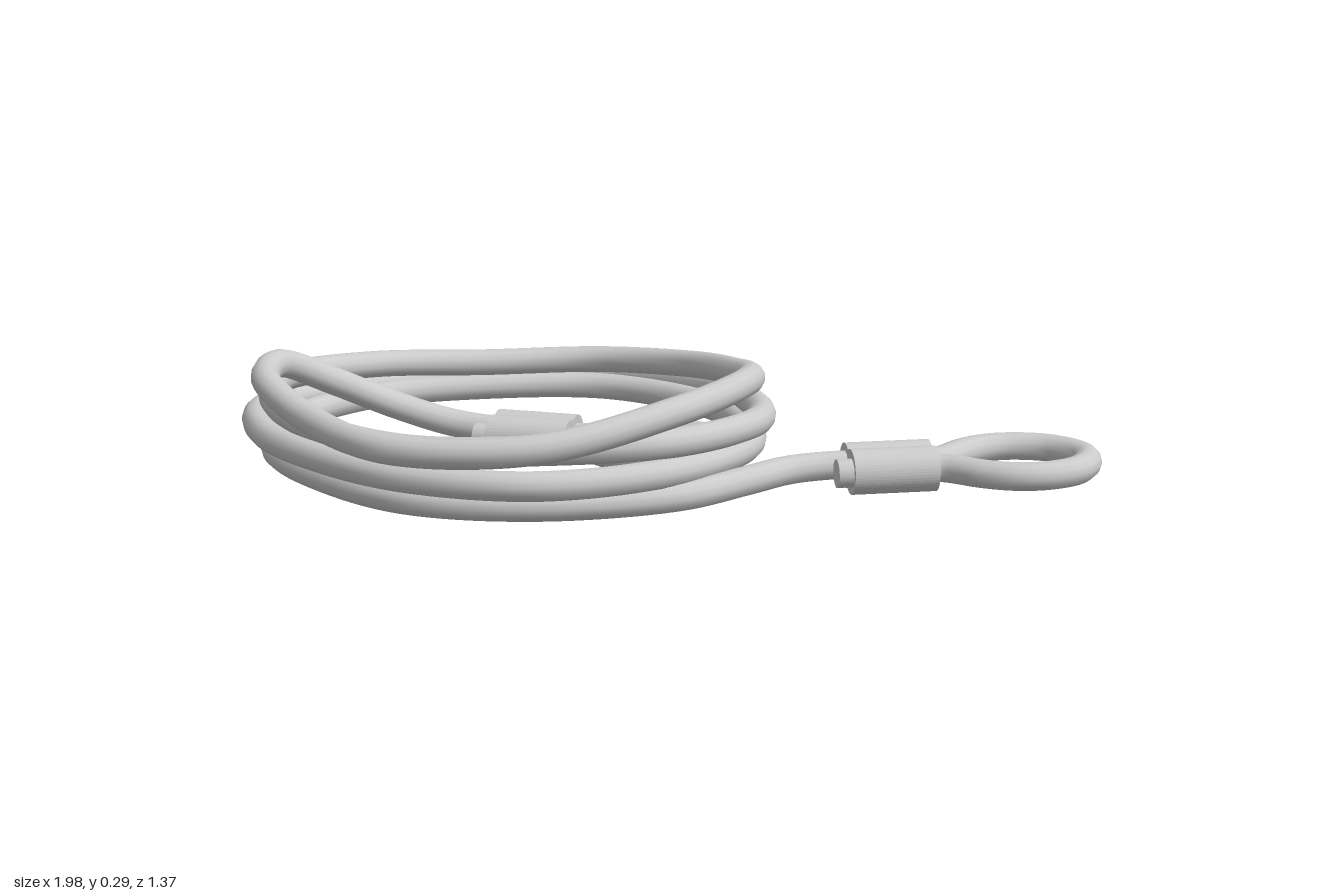
import * as THREE from 'three';

const R = 0.034; // cable radius
const mat = new THREE.MeshStandardMaterial({ color: 0xcccccc });

function add(parent, name, geometry) {
  const mesh = new THREE.Mesh(geometry, mat);
  mesh.name = name;
  parent.add(mesh);
  return mesh;
}

function cable(points, segments) {
  const curve = new THREE.CatmullRomCurve3(points.map((p) => new THREE.Vector3(...p)));
  return new THREE.TubeGeometry(curve, segments, R, 12);
}

// Ferrule with two rounded lobes, a cut-off tail and a teardrop eye along +x
function cableEnd(name, x, z, angle) {
  const end = new THREE.Group();
  end.name = name;

  const r = 0.053, c = 0.029, a = Math.acos(c / r);
  const outline = new THREE.Shape();
  outline.absarc(c, 0, r, a - Math.PI, Math.PI - a, false);
  outline.absarc(-c, 0, r, a, Math.PI * 2 - a, false);
  const sleeve = new THREE.ExtrudeGeometry(outline, { depth: 0.2, bevelEnabled: false, curveSegments: 16 });
  sleeve.translate(0, 0, -0.1);
  sleeve.rotateY(Math.PI / 2);
  add(end, 'ferrule', sleeve);

  const tail = new THREE.CylinderGeometry(R, R, 0.1, 12);
  tail.rotateZ(Math.PI / 2);
  add(end, 'cableTail', tail).position.set(-0.085, 0, 0.038);

  const half = [[0.07, -0.025], [0.12, -0.03], [0.2, -0.095], [0.265, -0.127],
    [0.33, -0.132], [0.41, -0.105], [0.458, -0.05]];
  const mirrored = half.map(([px, pz]) => [px, -pz]).reverse();
  const eye = [...half, [0.472, 0], ...mirrored].map(([px, pz]) => [px, 0, pz]);
  add(end, 'eyeLoop', cable(eye, 80));

  end.position.set(x, r, z);
  end.rotation.y = angle;
  return end;
}

// Coil in polar form: one radius and one height every 30 degrees, a row per turn,
// running from the front right corner to the front, left, back and right
const radii = [
  0.63, 0.565, 0.54, 0.515, 0.55, 0.58, 0.575, 0.55, 0.58, 0.575, 0.575, 0.605,
  0.62, 0.61, 0.565, 0.54, 0.58, 0.648, 0.63, 0.65, 0.688, 0.632, 0.595, 0.628,
  0.615, 0.535, 0.51, 0.505, 0.545, 0.595, 0.565, 0.54, 0.572, 0.565, 0.553, 0.608,
  0.63, 0.645, 0.615, 0.55,
];
const heights = [
  0.055, 0.053, 0.053, 0.053, 0.053, 0.053, 0.053, 0.053, 0.055, 0.062, 0.075, 0.095,
  0.11, 0.112, 0.111, 0.108, 0.1, 0.083, 0.065, 0.056, 0.064, 0.09, 0.128, 0.158,
  0.176, 0.172, 0.16, 0.16, 0.166, 0.16, 0.138, 0.12, 0.128, 0.158, 0.203, 0.254,
  0.25, 0.205, 0.187, 0.197,
];

export function createModel() {
  const model = new THREE.Group();
  model.name = 'coiledCable';

  const coil = radii.map((r, i) => {
    const angle = (i + 2) * Math.PI / 6;
    return [-0.36 + r * Math.cos(angle), heights[i], r * Math.sin(angle)];
  });
  const leadIn = [[0.45, 0.055, 0.345], [0.34, 0.055, 0.348], [0.25, 0.055, 0.37], [0.14, 0.055, 0.44]];
  const leadOut = [[-0.93, 0.243, 0.06], [-0.89, 0.25, -0.065], [-0.76, 0.18, -0.145],
    [-0.62, 0.11, -0.178], [-0.48, 0.065, -0.15], [-0.365, 0.053, -0.102], [-0.3, 0.053, -0.072]];
  add(model, 'cableCoil', cable([...leadIn, ...coil, ...leadOut], 420));

  // Terminations: one outside the coil, one lying inside it
  model.add(cableEnd('outerEnd', 0.49, 0.373, 0));
  model.add(cableEnd('innerEnd', -0.292, -0.03, -0.434));
  return model;
}
